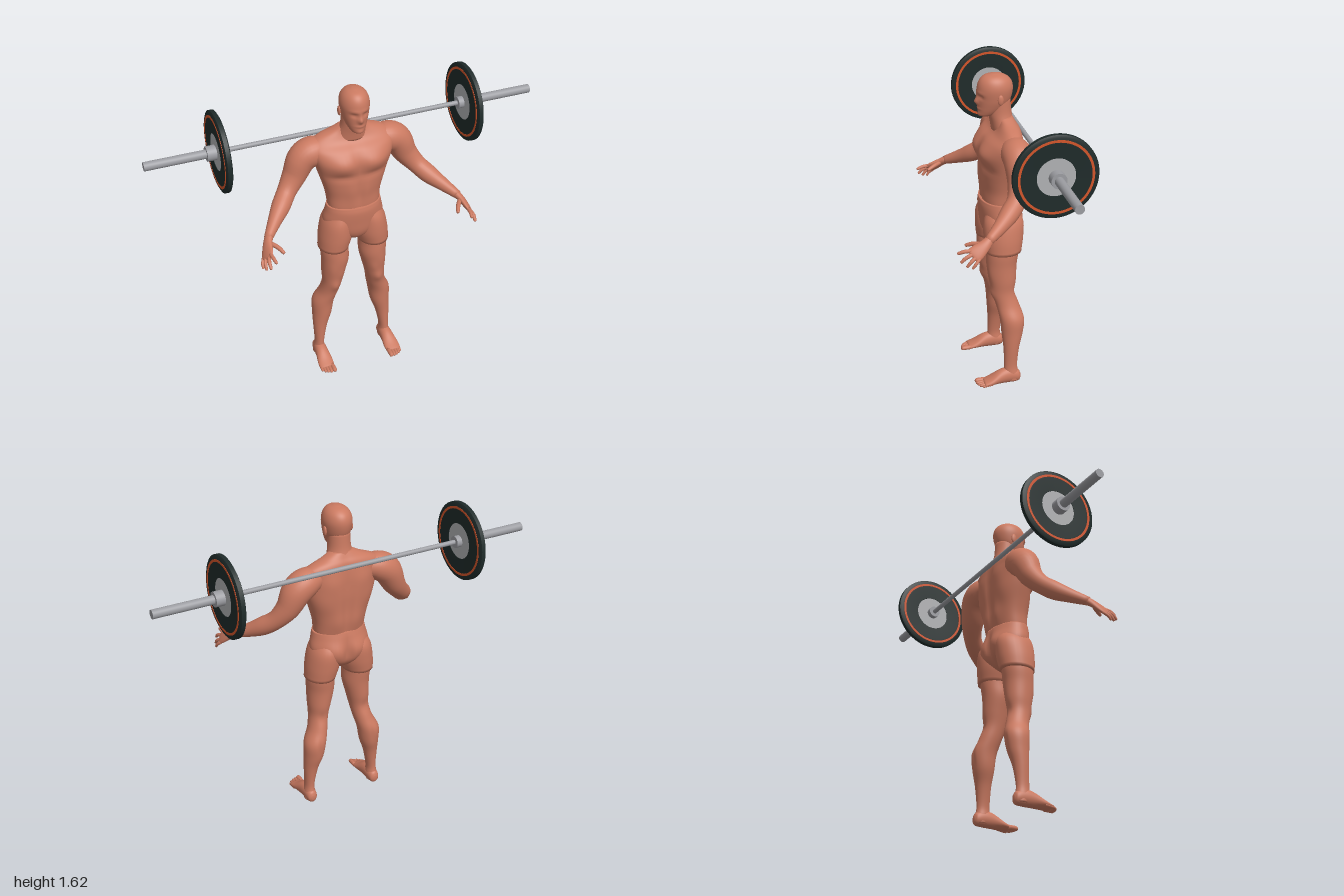
import * as THREE from 'three';
import { toCreasedNormals } from 'three/addons/utils/BufferGeometryUtils.js';

const V = (x, y, z) => new THREE.Vector3(x, y, z);
const mat = (name, color) => Object.assign(new THREE.MeshStandardMaterial({ color }), { name });

// Smooth skin over elliptical rings [x, y, z, halfWidth, halfDepth].
// side: direction of halfWidth; axis: fixed ring normal (else follows the path);
// s: -1 mirrors in x; p: below 1 squares the section.
function loft(rings, { side = V(1, 0, 0), axis = null, s = 1, p = 1, steps = 5, seg = 28 } = {}) {
  const path = new THREE.CatmullRomCurve3(rings.map(r => V(r[0] * s, r[1], r[2])), false, 'catmullrom');
  const size = new THREE.CatmullRomCurve3(rings.map(r => V(r[3], r[4], 0)), false, 'catmullrom');
  const hint = V(side.x * s, side.y, side.z), n = (rings.length - 1) * steps;
  const pos = [], idx = [];
  const run = path.getPoint(1).sub(path.getPoint(0));
  const pow = c => Math.sign(c) * Math.abs(c) ** p;
  for (let i = 0; i <= n; i++) {
    const c = path.getPoint(i / n), k = size.getPoint(i / n);
    const t = axis ? axis.clone().multiplyScalar(Math.sign(run.dot(axis))) : path.getTangent(i / n);
    const u = hint.clone().addScaledVector(t, -hint.dot(t)).normalize();
    const v = t.clone().cross(u);
    for (let j = 0; j < seg; j++) {
      const a = j / seg * Math.PI * 2;
      const q = c.clone().addScaledVector(u, pow(Math.cos(a)) * k.x).addScaledVector(v, pow(Math.sin(a)) * k.y);
      pos.push(q.x, q.y, q.z);
      const m = i * seg + j, o = i * seg + (j + 1) % seg;
      if (i < n) idx.push(m, o, m + seg, o, o + seg, m + seg);
    }
  }
  // End caps
  const first = pos.length / 3;
  for (const e of [0, 1]) pos.push(...path.getPoint(e).toArray());
  for (let j = 0; j < seg; j++) {
    const o = (j + 1) % seg, b = n * seg;
    idx.push(first, o, j, first + 1, b + j, b + o);
  }
  const g = new THREE.BufferGeometry();
  g.setAttribute('position', new THREE.Float32BufferAttribute(pos, 3));
  g.setIndex(idx);
  g.computeVertexNormals();
  return g;
}

// Muscle relief: [|x|, y, push, spreadX, spreadY] on the front (dir 1) or back (dir -1)
function relief(g, dir, zc, list) {
  const a = g.attributes.position;
  for (let i = 0; i < a.count; i++) {
    const x = Math.abs(a.getX(i)), y = a.getY(i), z = a.getZ(i);
    const w = THREE.MathUtils.clamp(dir * (z - zc) / 0.05, 0, 1);
    let d = 0;
    for (const [bx, by, k, sx, sy] of list) d += k * Math.exp(-(((x - bx) / sx) ** 2) - ((y - by) / sy) ** 2);
    a.setZ(i, z + dir * d * w);
  }
  g.computeVertexNormals();
  return g;
}

export function createModel() {
  const model = new THREE.Group();
  model.name = 'weightlifter';
  const skin = mat('skin', 0xcb7a61), steel = mat('steel', 0x9c9da2), hub = mat('hub grey', 0xb0b1b3);
  const rubber = mat('black rubber', 0x1f2b2a), orange = mat('orange', 0xd4552a);
  const Y = V(0, 1, 0);
  const add = (name, g, m = skin, parent = model) => {
    const mesh = new THREE.Mesh(g, m);
    mesh.name = name;
    parent.add(mesh);
    return mesh;
  };

  // Torso with chest, belly and back relief
  const torso = loft([
    [0, 0.95, -0.005, 0.13, 0.08], [0, 0.985, -0.007, 0.134, 0.085], [0, 1.04, -0.012, 0.14, 0.09],
    [0, 1.1, -0.012, 0.155, 0.095], [0, 1.18, -0.014, 0.18, 0.1], [0, 1.25, -0.012, 0.2, 0.1],
    [0, 1.3, -0.022, 0.213, 0.088], [0, 1.335, -0.04, 0.21, 0.067], [0, 1.362, -0.046, 0.165, 0.055],
    [0, 1.385, -0.043, 0.105, 0.045], [0, 1.41, -0.035, 0.055, 0.04],
  ], { axis: Y, p: 0.88, seg: 56, steps: 6 });
  relief(torso, 1, -0.01, [[0.085, 1.24, 0.02, 0.07, 0.05], [0, 1.25, -0.008, 0.016, 0.07],
    [0.08, 1.17, -0.008, 0.07, 0.02], [0.035, 1.07, 0.006, 0.03, 0.08], [0, 1.07, -0.005, 0.012, 0.09]]);
  relief(torso, -1, -0.02, [[0, 1.15, -0.014, 0.022, 0.17], [0.09, 1.26, 0.01, 0.06, 0.06],
    [0.05, 1.04, 0.006, 0.03, 0.08], [0.12, 1.15, 0.007, 0.05, 0.07]]);
  add('torso', torso);

  // Neck, head and ears
  add('neck', loft([[0, 1.34, -0.035, 0.08, 0.06], [0, 1.385, -0.025, 0.067, 0.058], [0, 1.43, -0.015, 0.057, 0.058],
    [0, 1.5, -0.01, 0.055, 0.058]], { axis: Y }));
  const head = loft([
    [0, 1.412, 0.058, 0.012, 0.016], [0, 1.418, 0.052, 0.03, 0.036], [0, 1.437, 0.036, 0.044, 0.056],
    [0, 1.465, 0.022, 0.056, 0.071], [0, 1.5, 0.012, 0.066, 0.082], [0, 1.55, 0.008, 0.072, 0.088],
    [0, 1.588, 0.008, 0.063, 0.078], [0, 1.612, 0.01, 0.042, 0.053], [0, 1.623, 0.01, 0.012, 0.015],
  ], { axis: Y, seg: 48, steps: 7 });
  relief(head, 1, 0.03, [[0, 1.488, 0.015, 0.012, 0.016], [0, 1.51, 0.006, 0.01, 0.02],
    [0.028, 1.516, -0.008, 0.016, 0.011], [0.025, 1.535, 0.004, 0.025, 0.009],
    [0, 1.455, 0.004, 0.022, 0.006], [0, 1.425, 0.004, 0.02, 0.012]]);
  add('head', head);

  // Shorts body
  const hips = loft([
    [0, 0.984, -0.004, 0.14, 0.092], [0, 0.95, -0.006, 0.147, 0.099], [0, 0.89, -0.014, 0.158, 0.102],
    [0, 0.83, -0.015, 0.135, 0.095], [0, 0.79, -0.01, 0.075, 0.07], [0, 0.765, -0.01, 0.025, 0.035],
  ], { axis: Y, seg: 48 });
  relief(hips, -1, -0.03, [[0.07, 0.88, 0.013, 0.05, 0.05], [0, 0.87, -0.02, 0.016, 0.07]]);
  add('shorts hips', hips);

  for (const s of [1, -1]) {
    const sideName = s > 0 ? 'left' : 'right';
    const limb = (name, rings, opt = {}) => add(`${sideName} ${name}`, loft(rings, { s, ...opt }));

    const ear = new THREE.SphereGeometry(1, 14, 10).scale(0.008, 0.026, 0.015);
    add(`${sideName} ear`, ear).position.set(0.071 * s, 1.507, -0.004);

    // Shorts leg and bare leg
    limb('shorts leg', [[0.07, 0.94, -0.008, 0.06, 0.075], [0.087, 0.88, -0.014, 0.076, 0.1],
      [0.095, 0.8, -0.012, 0.086, 0.1], [0.108, 0.725, -0.01, 0.078, 0.09]], { axis: Y });
    const leg = loft([
      [0.1, 0.8, -0.01, 0.07, 0.08], [0.104, 0.72, -0.005, 0.072, 0.082], [0.102, 0.65, -0.001, 0.07, 0.077],
      [0.111, 0.57, -0.005, 0.06, 0.068], [0.118, 0.5, -0.007, 0.05, 0.06], [0.132, 0.43, -0.025, 0.05, 0.059],
      [0.156, 0.36, -0.043, 0.057, 0.063], [0.164, 0.28, -0.042, 0.051, 0.055], [0.177, 0.2, -0.035, 0.037, 0.041],
      [0.185, 0.1, -0.03, 0.025, 0.034], [0.187, 0.05, -0.033, 0.029, 0.038], [0.188, 0.012, -0.04, 0.029, 0.036],
    ], { s, axis: Y, seg: 36 });
    relief(leg, 1, -0.02, [[0.118, 0.495, 0.008, 0.022, 0.028], [0.085, 0.57, 0.006, 0.022, 0.035],
      [0.14, 0.6, 0.005, 0.025, 0.05]]);
    relief(leg, -1, -0.03, [[0.125, 0.5, -0.008, 0.02, 0.03], [0.155, 0.34, -0.005, 0.012, 0.05]]);
    add(`${sideName} leg`, leg);

    // Foot flattened on the ground, with five toes
    const foot = limb('foot', [[0.187, 0.03, -0.081, 0.01, 0.013], [0.187, 0.033, -0.068, 0.026, 0.033],
      [0.187, 0.04, -0.025, 0.032, 0.043], [0.188, 0.036, 0.025, 0.035, 0.038],
      [0.19, 0.021, 0.078, 0.041, 0.021], [0.191, 0.013, 0.115, 0.038, 0.011]], { axis: V(0, 0, 1) });
    const fp = foot.geometry.attributes.position;
    for (let i = 0; i < fp.count; i++) fp.setY(i, Math.max(0, fp.getY(i)));
    foot.geometry.computeVertexNormals();
    [[0.163, 0.156, 0.012], [0.181, 0.154, 0.009], [0.196, 0.149, 0.0085], [0.21, 0.141, 0.008], [0.222, 0.128, 0.0075]]
      .forEach(([x, z, r], i) => limb(`toe ${i + 1}`, [[x, 0.014, z - 0.055, r, r], [x, r + 0.002, z - 0.018, r, r],
        [x, r, z - 0.005, r * 0.85, r * 0.85], [x, r, z, r * 0.25, r * 0.25]], { seg: 10, steps: 3 }));

    // Arm from shoulder to wrist
    limb('arm', [[0.1, 1.285, -0.035, 0.04, 0.04], [0.18, 1.288, -0.045, 0.07, 0.072], [0.245, 1.255, -0.05, 0.075, 0.073],
      [0.292, 1.17, -0.042, 0.06, 0.06], [0.342, 1.105, -0.014, 0.047, 0.048], [0.39, 1.06, 0.035, 0.046, 0.046],
      [0.44, 1.024, 0.09, 0.035, 0.034], [0.497, 0.986, 0.16, 0.022, 0.021]], { side: V(0, 1, 0.5) });

    // Hand: palm, four fingers and thumb
    const across = V(-0.508, 0.61, 0.61);
    limb('palm', [[0.49, 0.991, 0.152, 0.022, 0.02], [0.507, 0.972, 0.18, 0.028, 0.017],
      [0.52, 0.95, 0.215, 0.037, 0.014], [0.527, 0.937, 0.238, 0.037, 0.01], [0.529, 0.932, 0.246, 0.03, 0.005]],
    { side: across });
    const finger = (name, a, b, c, r) => {
      const e = V(...c).lerp(V(...b), 0.12).toArray();
      limb(name, [[...a, r, r], [...b, r, r], [...e, r * 0.75, r * 0.75], [...c, r * 0.25, r * 0.25]],
        { side: across, seg: 10, steps: 4 });
    };
    finger('index finger', [0.514, 0.955, 0.246], [0.511, 0.953, 0.28], [0.505, 0.943, 0.31], 0.009);
    finger('middle finger', [0.522, 0.943, 0.236], [0.53, 0.93, 0.273], [0.53, 0.907, 0.3], 0.009);
    finger('ring finger', [0.532, 0.932, 0.224], [0.544, 0.913, 0.253], [0.545, 0.888, 0.275], 0.0085);
    finger('little finger', [0.541, 0.921, 0.212], [0.553, 0.902, 0.234], [0.554, 0.881, 0.25], 0.0075);
    finger('thumb', [0.503, 0.975, 0.178], [0.471, 0.969, 0.222], [0.451, 0.955, 0.262], 0.011);
  }

  // Barbell built along x behind the neck
  const bar = new THREE.Group();
  bar.name = 'barbell';
  bar.position.set(0, 1.345, -0.112);
  model.add(bar);
  const rod = (name, x0, x1, r, m = steel) => add(name,
    new THREE.CylinderGeometry(r, r, Math.abs(x1 - x0), 32).rotateZ(Math.PI / 2).translate((x0 + x1) / 2, 0, 0), m, bar);
  const disc = (name, x, pts, m) => add(name, toCreasedNormals(
    new THREE.LatheGeometry(pts.map(q => new THREE.Vector2(...q)), 64), 0.5).rotateZ(Math.PI / 2).translate(x, 0, 0), m, bar);
  rod('bar', -0.62, 0.62, 0.012);
  for (const s of [1, -1]) {
    rod('sleeve', 0.6 * s, 1 * s, 0.022);
    rod('inner collar', 0.6 * s, 0.66 * s, 0.03);
    rod('outer collar', 0.655 * s, 0.7 * s, 0.037);
    rod('plate hub', 0.628 * s, 0.652 * s, 0.093, hub);
    disc('plate', 0.64 * s, [[0.091, -0.014], [0.16, -0.016], [0.188, -0.016], [0.2, -0.01], [0.2, 0.01],
      [0.188, 0.016], [0.16, 0.016], [0.091, 0.014], [0.091, -0.014]], rubber);
    for (const f of [1, -1]) {
      const h = 0.0012;
      disc('plate stripe', (0.64 + f * 0.0162) * s, [[0.166, -h], [0.178, -h], [0.178, h], [0.166, h], [0.166, -h]], orange);
    }
  }
  return model;
}
